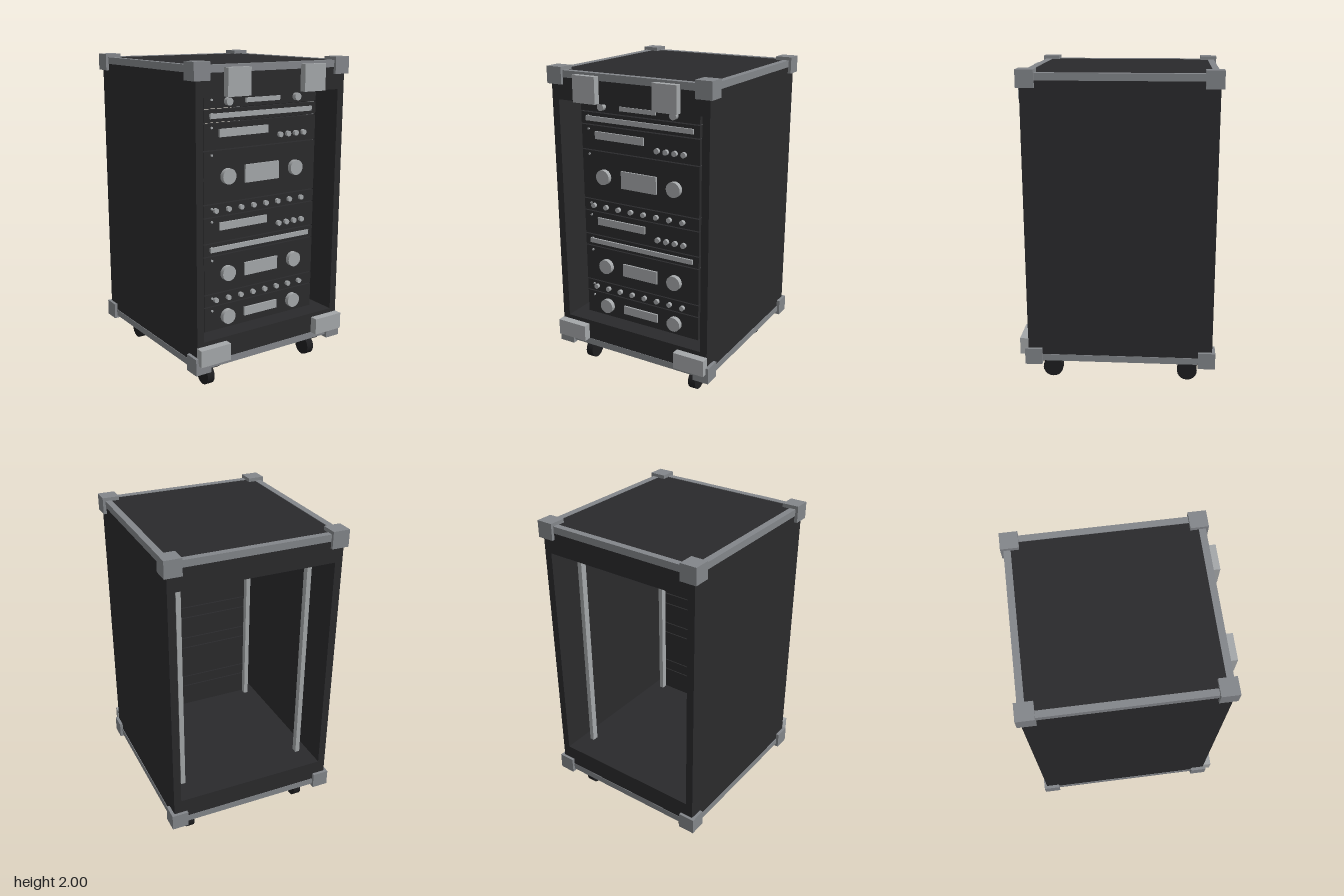
import * as THREE from 'three';

const mat = (color) => new THREE.MeshStandardMaterial({ color });
const dark = mat(0x2a2a2c), black = mat(0x1e1e20), metal = mat(0x83868a), light = mat(0xa4a7a9);

// Case limits
const W = 0.545, ZB = -0.599, ZF = 0.561, Y0 = 0.175, Y1 = 1.976;
const OPEN0 = 0.347, OPEN1 = 1.8, ZC = (ZB + ZF) / 2, DEPTH = ZF - ZB;
const FACE = 0.445; // front plane of the rack units

export function createModel() {
  const root = new THREE.Group();
  root.name = 'rackCase';

  const add = (name, geometry, material, x, y, z, parent = root) => {
    const m = new THREE.Mesh(geometry, material);
    m.name = name;
    m.position.set(x, y, z);
    parent.add(m);
    return m;
  };
  const box = (name, w, h, d, material, x, y, z, parent) =>
    add(name, new THREE.BoxGeometry(w, h, d), material, x, y, z, parent);

  // Open-fronted and open-backed shell
  for (const s of [-1, 1])
    box('sidePanel', 0.048, Y1 - Y0, DEPTH, dark, s * (W - 0.024), (Y0 + Y1) / 2, ZC);
  box('topPanel', 2 * W - 0.096, Y1 - OPEN1, DEPTH, dark, 0, (Y1 + OPEN1) / 2, ZC);
  box('basePanel', 2 * W - 0.096, OPEN0 - Y0, DEPTH, dark, 0, (Y0 + OPEN0) / 2, ZC);

  // Metal edging and corner blocks around top and bottom
  for (const y of [1.958, 0.193]) {
    for (const s of [-1, 1])
      box('sideEdging', 0.041, 0.043, DEPTH, metal, s * 0.528, y, ZC);
    for (const z of [ZB + 0.018, ZF - 0.018])
      box('crossEdging', 2 * W, 0.043, 0.041, metal, 0, y, z);
    for (const x of [-0.512, 0.512])
      for (const z of [-0.565, 0.526])
        box('cornerBlock', 0.107, 0.105, 0.107, metal, x, y > 1 ? 1.9475 : 0.204, z);
  }

  // Vertical mounting rails
  for (const x of [-0.422, 0.422])
    for (const z of [-0.425, 0.388])
      box('mountingRail', 0.03, OPEN1 - OPEN0, 0.04, light, x, (OPEN0 + OPEN1) / 2, z);

  // Latches on the front
  for (const s of [-1, 1]) {
    box('upperLatch', 0.16, 0.163, 0.045, light, s * 0.277, 1.883, 0.582);
    box('lowerLatch', 0.212, 0.106, 0.052, light, s * 0.442, 0.267, 0.586);
  }

  // Casters
  for (const x of [-0.4, 0.4])
    for (const z of [0.425, -0.448]) {
      const caster = new THREE.Group();
      caster.name = 'caster';
      caster.position.set(x, 0, z);
      root.add(caster);
      box('casterMount', 0.122, 0.053, 0.125, black, 0, 0.15, 0, caster);
      const wheel = new THREE.CylinderGeometry(0.064, 0.064, 0.05, 20).rotateZ(Math.PI / 2);
      add('casterWheel', wheel, black, 0, 0.064, 0, caster);
    }

  // Rack unit controls, placed relative to the middle of each faceplate
  const knob = (g, x, y, r, d = 0.03) =>
    add('knob', new THREE.CylinderGeometry(r, r, d, 20).rotateX(Math.PI / 2), light, x, y, FACE + d / 2, g);
  const display = (g, x, y, w, h) => box('display', w, h, 0.012, light, x, y, FACE + 0.006, g);

  const controls = {
    amplifier(g, h) {
      display(g, 0, 0, 0.254, h * 0.345);
      for (const s of [-1, 1]) knob(g, s * 0.255, 0, Math.min(0.048, h * 0.29));
    },
    drawer(g) {
      display(g, 0, 0, 0.76, 0.03);
    },
    receiver(g, h) {
      display(g, -0.137, h * 0.12, 0.355, 0.048);
      for (let i = 0; i < 4; i++) knob(g, 0.135 + i * 0.061, -h * 0.15, 0.017, 0.02);
    },
    mixer(g) {
      for (let i = 0; i < 8; i++) knob(g, -0.341 + i * 0.093, 0, 0.016, 0.02);
    },
  };

  // Stack of units from the top down: [kind, height in rack units]
  const stack = [
    ['amplifier', 1], ['drawer', 1], ['receiver', 2], ['amplifier', 4], ['mixer', 1],
    ['receiver', 2], ['drawer', 1], ['amplifier', 3], ['mixer', 1], ['amplifier', 2],
  ];
  const U = (OPEN1 - OPEN0) / 18;
  let top = OPEN1;
  for (const [kind, units] of stack) {
    const h = units * U;
    const g = new THREE.Group();
    g.name = kind;
    g.position.y = top - h / 2;
    root.add(g);
    box('faceplate', 0.84, h - 0.007, 0.035, dark, 0, 0, FACE - 0.0175, g);
    controls[kind](g, h);
    knob(g, -0.366, h / 2 - 0.027, 0.007, 0.008).name = 'indicatorLight';
    top -= h;
  }
  return root;
}
